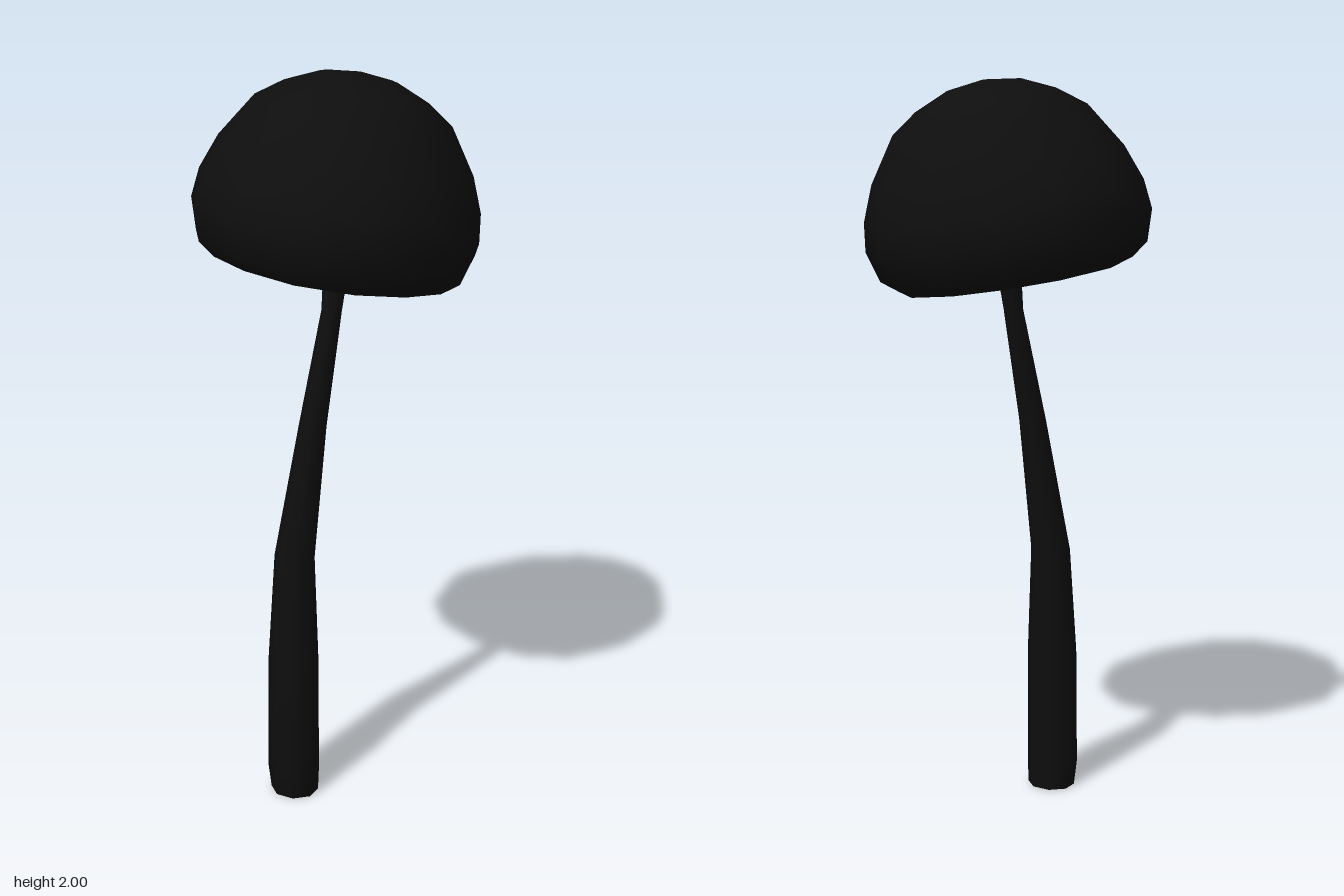
import * as THREE from 'three';
import { mergeVertices, toCreasedNormals } from 'three/addons/utils/BufferGeometryUtils.js';

const material = new THREE.MeshStandardMaterial({ color: 0x0e0e0e, side: THREE.DoubleSide });

// Weld the seams so that normals can be rebuilt after moving vertices
function weld(geometry) {
  geometry.deleteAttribute('normal');
  geometry.deleteAttribute('uv');
  return mergeVertices(geometry);
}

// Hollow cap: inner bowl, rounded lip, then the outer dome
function createCap() {
  const profile = [
    [0, 0.24], [0.12, 0.22], [0.22, 0.15], [0.275, 0.05], [0.315, 0],
    [0.36, 0.035], [0.385, 0.12], [0.375, 0.2], [0.338, 0.295],
    [0.26, 0.415], [0.19, 0.465], [0.1, 0.505], [0, 0.519],
  ].map(([r, h]) => new THREE.Vector2(r, h));
  // Slightly uneven radius for each side, from the front round towards +x
  const wobble = [0.99, 1.02, 1.01, 1.01, 0.96, 0.93, 0.97, 1.03, 1.02, 1.01, 1, 1.03, 1.02];
  const sides = wobble.length;
  const lathe = new THREE.LatheGeometry(profile, sides);
  const p = lathe.attributes.position;
  for (let i = 0; i < p.count; i++) {
    const scale = wobble[Math.floor(i / profile.length) % sides];
    p.setXYZ(i, p.getX(i) * scale, p.getY(i), p.getZ(i) * scale);
  }
  const geometry = weld(lathe);
  geometry.computeVertexNormals();
  const cap = new THREE.Mesh(geometry, material);
  cap.name = 'cap';
  cap.position.set(-0.02, 1.485, -0.012);
  cap.rotation.set(0.06, 0, -0.16);
  return cap;
}

// Curved stem that tapers, then flares inside the cap: [y, centre x, centre z, radius x, radius z]
function createStem() {
  const rings = [
    [0, -0.173, 0.022, 0.064, 0.069],
    [0.07, -0.178, 0.024, 0.069, 0.075],
    [0.4, -0.174, 0.022, 0.067, 0.073],
    [0.7, -0.155, 0.006, 0.052, 0.059],
    [1.07, -0.105, 0.025, 0.037, 0.038],
    [1.38, -0.043, 0.03, 0.025, 0.03],
    [1.52, -0.02, 0.025, 0.034, 0.037],
    [1.72, 0.015, 0.02, 0.05, 0.05],
  ];
  const count = rings.length - 1;
  const tube = new THREE.CylinderGeometry(1, 1, count, 8, count);
  const p = tube.attributes.position;
  for (let i = 0; i < p.count; i++) {
    const [y, cx, cz, rx, rz] = rings[Math.round(p.getY(i) + count / 2)];
    p.setXYZ(i, cx + p.getX(i) * rx, y, cz + p.getZ(i) * rz);
  }
  const stem = new THREE.Mesh(toCreasedNormals(weld(tube), Math.PI / 3), material);
  stem.name = 'stem';
  return stem;
}

export function createModel() {
  const mushroom = new THREE.Group();
  mushroom.name = 'mushroom';
  mushroom.add(createCap(), createStem());
  return mushroom;
}
